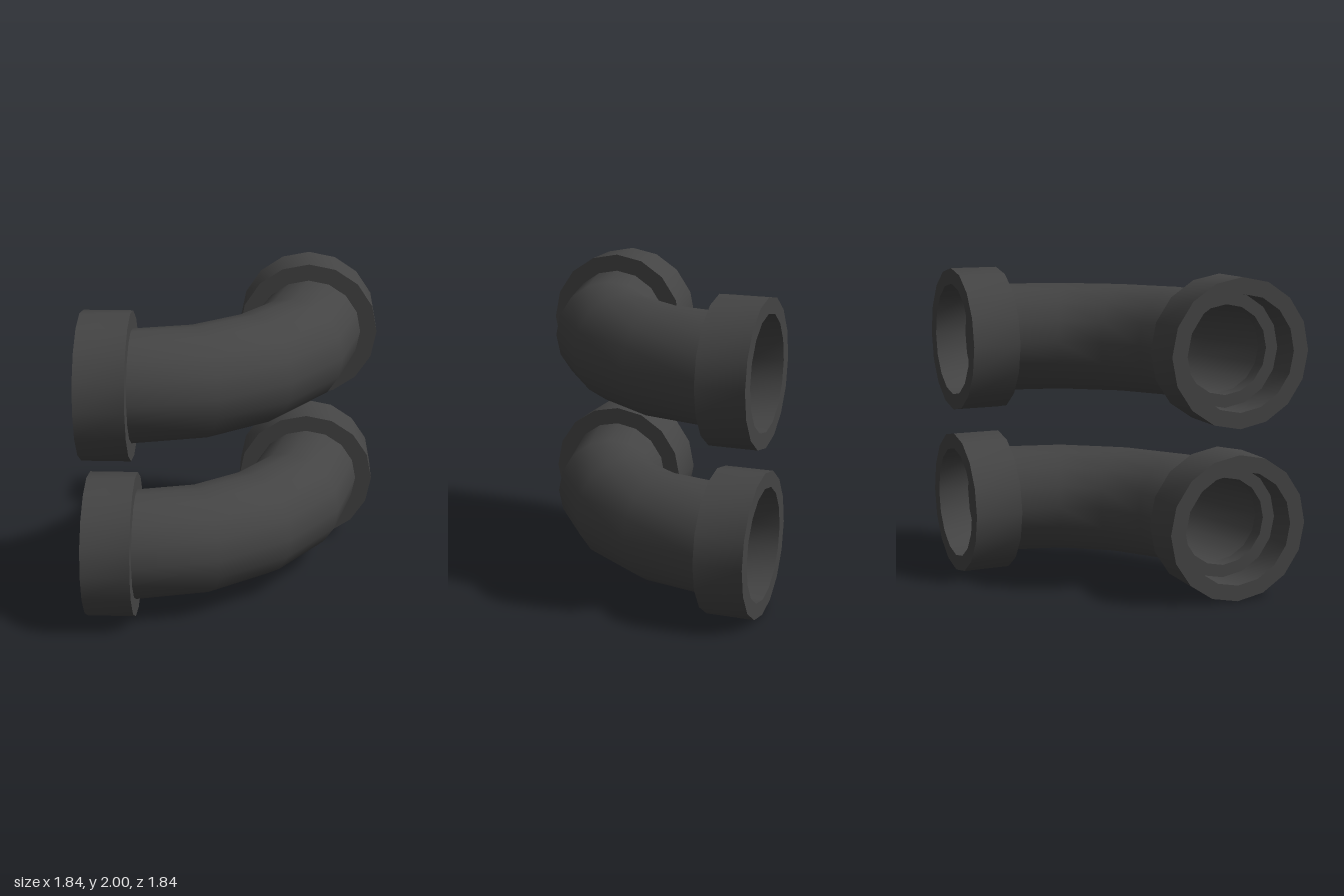
import * as THREE from 'three';
import { toCreasedNormals } from 'three/addons/utils/BufferGeometryUtils.js';

const SIDES = 16;
const END = -0.615; // where the bend meets the sockets, also the bend centre
const AXIS = 0.46; // offset of the pipe axis at each end
const BEND = [[0.725, 1.425], [0.713, 1.402], [0.7, 1.386], [0.713, 1.402], [0.725, 1.425]]; // inside / outside radius

// Rings swept through a quarter turn; wall shrinks the section for the bore.
function bendGeometry(wall, inward) {
  const pos = [], index = [];
  BEND.forEach(([inner, outer], i) => {
    const a = (i / (BEND.length - 1)) * Math.PI / 2;
    const mid = (inner + outer) / 2, half = (outer - inner) / 2 - wall;
    for (let j = 0; j < SIDES; j++) {
      const t = (j / SIDES) * Math.PI * 2;
      const r = mid + half * Math.cos(t);
      pos.push(END + r * Math.sin(a), (0.35 - wall) * Math.sin(t), END + r * Math.cos(a));
      if (i === BEND.length - 1) continue;
      const k = (j + 1) % SIDES;
      const p = i * SIDES + j, q = p + SIDES, u = i * SIDES + k, v = u + SIDES;
      if (inward) index.push(p, u, q, q, u, v);
      else index.push(p, q, u, q, v, u);
    }
  });
  const g = new THREE.BufferGeometry();
  g.setAttribute('position', new THREE.Float32BufferAttribute(pos, 3));
  g.setIndex(index);
  return toCreasedNormals(g, 0.7);
}

// Collar with a wide mouth and a ledge where the bore narrows.
function socketGeometry() {
  const profile = [[0.28, 0], [0.46, 0], [0.46, 0.305], [0.36, 0.305], [0.36, 0.1], [0.28, 0.1], [0.28, 0]]
    .map(([r, y]) => new THREE.Vector2(r, y));
  return toCreasedNormals(new THREE.LatheGeometry(profile, SIDES), 0.7);
}

export function createModel() {
  const model = new THREE.Group();
  model.name = 'pipeElbows';
  const plastic = new THREE.MeshStandardMaterial({ color: 0x444444 });
  plastic.name = 'darkGreyPlastic';

  const outer = bendGeometry(0, false);
  const bore = bendGeometry(0.07, true);
  const socket = socketGeometry();

  const add = (group, name, geometry) => {
    const mesh = new THREE.Mesh(geometry, plastic);
    mesh.name = name;
    group.add(mesh);
    return mesh;
  };

  // Two identical elbows, one above the other
  [['lowerElbow', 0.46], ['upperElbow', 1.54]].forEach(([name, y]) => {
    const elbow = new THREE.Group();
    elbow.name = name;
    elbow.position.y = y;
    add(elbow, 'bend', outer);
    add(elbow, 'bendBore', bore);

    const side = add(elbow, 'sideSocket', socket);
    side.position.set(END, 0, AXIS);
    side.rotation.z = Math.PI / 2;

    const back = add(elbow, 'backSocket', socket);
    back.position.set(AXIS, 0, END);
    back.rotation.x = -Math.PI / 2;
    model.add(elbow);
  });
  return model;
}
